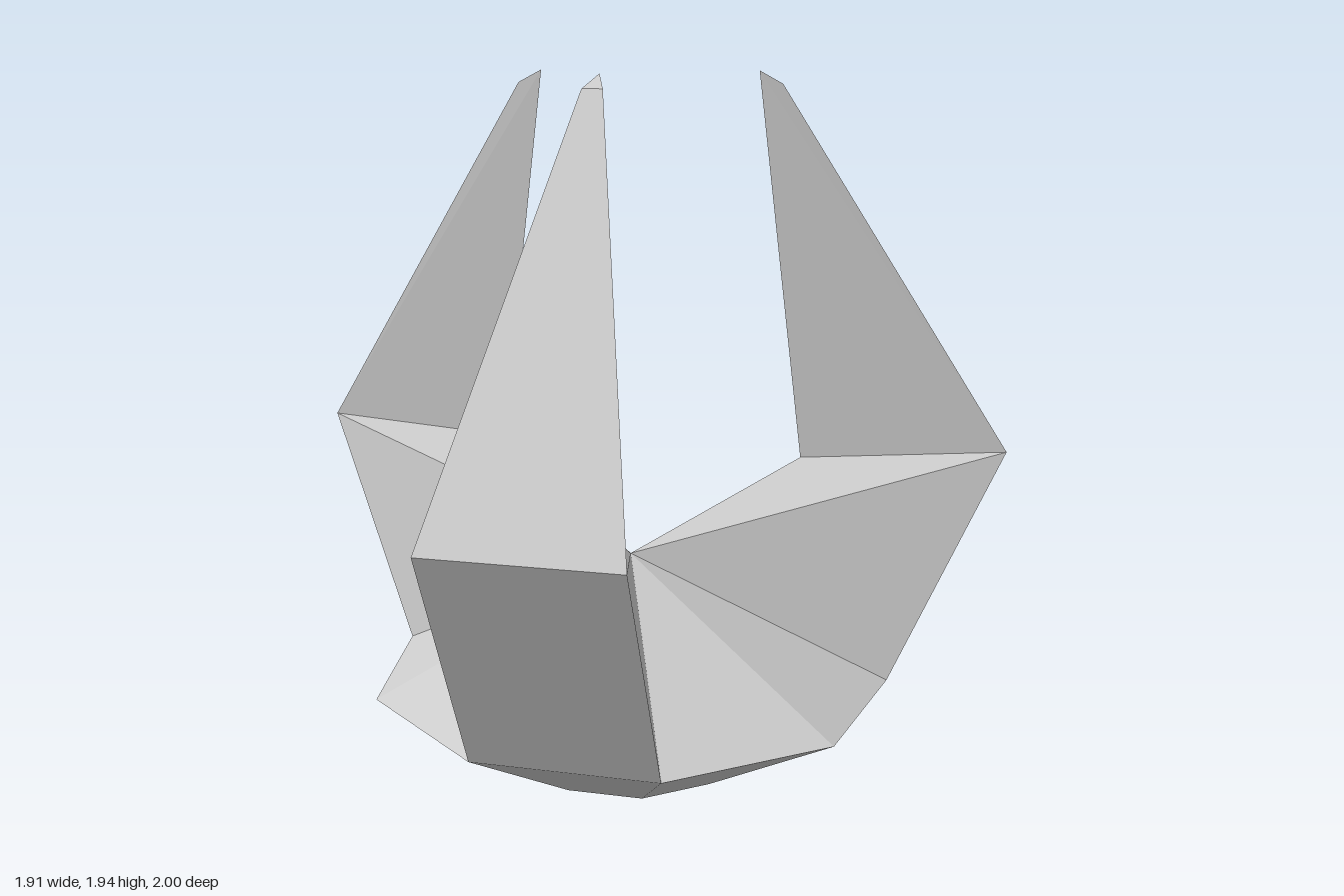
import * as THREE from 'three';

const CX = 0.1, CZ = 0.05;   // axis of the bowl
const SIDES = 9, STEP = (Math.PI * 2) / SIDES;
const RIM_R = 0.73, RIM_Y = 0.245, FOOT_R = 0.305;
const APEX = [CX, 0.605, CZ];

const material = new THREE.MeshStandardMaterial({ color: 0xcccccc, flatShading: true });

// Point at radius r along an angle, shifted sideways by s
function polar(angle, r, y, s = 0) {
  const c = Math.cos(angle), n = Math.sin(angle);
  return [CX + c * r - n * s, y, CZ + n * r + c * s];
}

// Mesh from convex faces given as corner lists (counter-clockwise from outside)
function facetedMesh(name, faces) {
  const pos = [];
  for (const f of faces) {
    for (let i = 1; i < f.length - 1; i++) pos.push(...f[0], ...f[i], ...f[i + 1]);
  }
  const g = new THREE.BufferGeometry();
  g.setAttribute('position', new THREE.Float32BufferAttribute(pos, 3));
  g.computeVertexNormals();
  const mesh = new THREE.Mesh(g, material);
  mesh.name = name;
  return mesh;
}

const ringAngle = (k) => -Math.PI / 2 + k * STEP;
const rim = (k) => polar(ringAngle(k), RIM_R, RIM_Y);
const foot = (k) => polar(ringAngle(k), FOOT_R, 0);

// Nine-sided bowl with a flat foot; the cap is open where claws grow
function makeBowl(clawSectors) {
  const faces = [];
  for (let k = 0; k < SIDES; k++) {
    faces.push([foot(k + 1), foot(k), rim(k), rim(k + 1)]);
    faces.push([[CX, 0, CZ], foot(k), foot(k + 1)]);
    if (!clawSectors.includes(k)) faces.push([APEX, rim(k + 1), rim(k)]);
  }
  return facetedMesh('bowl', faces);
}

// Claw: wide bent outer face, one sharp inner ridge, tapering to a bevelled tip
function makeClaw(name, { sector, innerR, innerY, tipR, outerTipR }) {
  const mid = ringAngle(sector + 0.5);
  const inner = polar(mid, innerR, innerY);
  const tip = polar(mid, tipR, 1.94);
  const faces = [];
  // Each side wall holds four corners on the outer face: rim, elbow, tip
  const [a, b] = [-1, 1].map((s) => ({
    rim: rim(s < 0 ? sector : sector + 1),
    elbow: polar(mid, 1.028, 0.89, s * 0.25),
    top: polar(mid, outerTipR, 1.905, s * 0.027),
  }));
  for (const side of [a, b]) {
    const wall = [
      [side.rim, APEX, side.elbow],
      [APEX, inner, side.elbow],
      [side.elbow, inner, tip],
      [side.elbow, tip, side.top],
    ];
    for (const f of wall) faces.push(side === a ? f : f.reverse());
  }
  faces.push([b.rim, a.rim, a.elbow, b.elbow]);   // lower outer face
  faces.push([b.elbow, a.elbow, a.top, b.top]);   // upper outer face
  faces.push([b.top, a.top, tip]);                // tip bevel
  return facetedMesh(name, faces);
}

export function createModel() {
  const group = new THREE.Group();
  group.name = 'clawBowl';
  const claws = {
    backClaw: { sector: 0, innerR: 0.507, innerY: 0.85, tipR: 0.362, outerTipR: 0.42 },
    frontLeftClaw: { sector: 3, innerR: 0.507, innerY: 0.87, tipR: 0.32, outerTipR: 0.39 },
    rightClaw: { sector: 6, innerR: 0.53, innerY: 0.86, tipR: 0.35, outerTipR: 0.415 },
  };
  group.add(makeBowl(Object.values(claws).map((c) => c.sector)));
  for (const [name, spec] of Object.entries(claws)) group.add(makeClaw(name, spec));
  return group;
}
